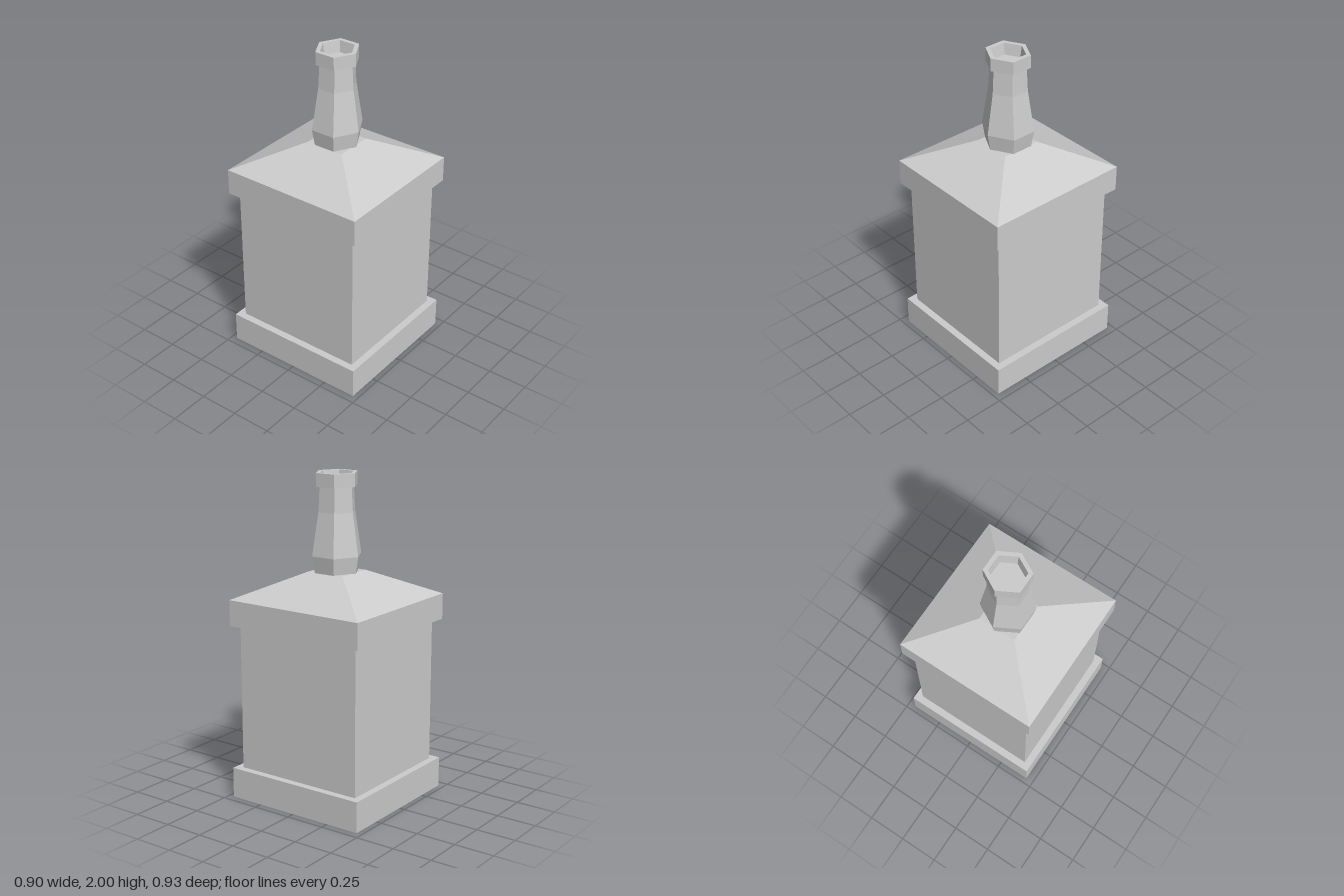
import * as THREE from 'three';

const material = new THREE.MeshStandardMaterial({ color: 0xcccccc, flatShading: true });

function addMesh(group, name, geometry) {
  const mesh = new THREE.Mesh(geometry, material);
  mesh.name = name;
  group.add(mesh);
  return mesh;
}

// Box spanning two heights
function addBlock(group, name, width, depth, y0, y1) {
  addMesh(group, name, new THREE.BoxGeometry(width, y1 - y0, depth)).position.y = (y0 + y1) / 2;
}

// Six-sided turned part with corners towards front and back
function addHexagon(group, name, profile) {
  const points = profile.map(([r, y]) => new THREE.Vector2(r, y));
  const mesh = addMesh(group, name, new THREE.LatheGeometry(points, 6));
  mesh.scale.x = 1.055;
  mesh.position.x = 0.004;
}

export function createModel() {
  const group = new THREE.Group();
  group.name = 'bottle';

  // Square body between a wider foot and shoulder band
  addBlock(group, 'foot', 0.9, 0.93, 0, 0.19);
  addBlock(group, 'body', 0.81, 0.84, 0.19, 1.09);
  addBlock(group, 'shoulderBand', 0.9, 0.93, 1.09, 1.25);

  // Sloping shoulders: a four-sided frustum
  const slope = new THREE.CylinderGeometry(0.12 * Math.SQRT2, 0.45 * Math.SQRT2, 0.16, 4, 1, false, Math.PI / 4);
  slope.scale(1, 1, 0.465 / 0.45);
  addMesh(group, 'shoulders', slope).position.y = 1.33;

  // Bulging neck, closed underneath
  addHexagon(group, 'neck', [[0, 1.408], [0.138, 1.408], [0.155, 1.51], [0.115, 1.77], [0.107, 1.92]]);

  // Lip with a tapered recess
  addHexagon(group, 'lip', [[0.1, 1.92], [0.13, 1.92], [0.13, 2], [0.103, 2], [0.092, 1.93], [0, 1.93]]);

  return group;
}
